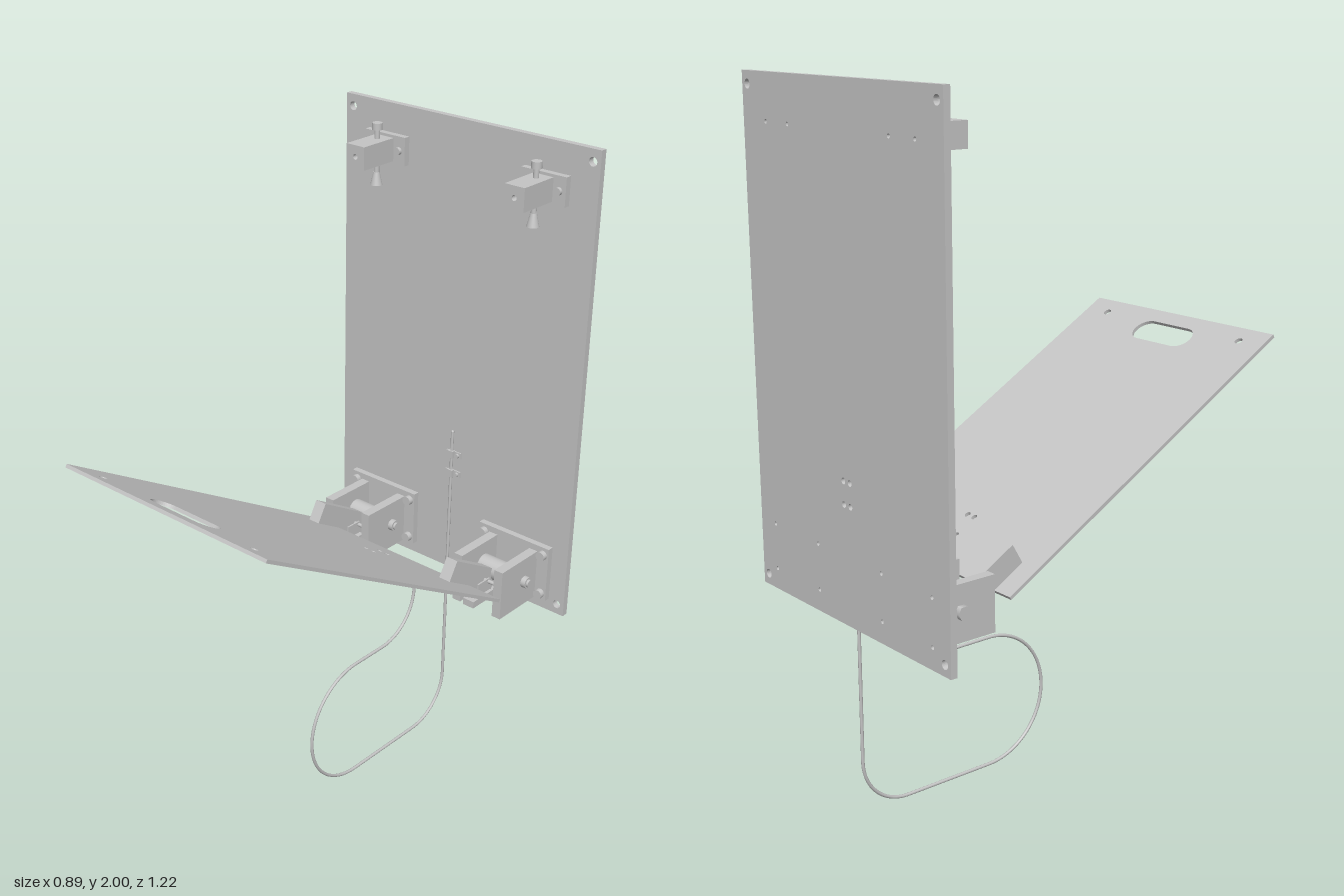
import * as THREE from 'three';

export function createModel() {
  const model = new THREE.Group();
  const grey = new THREE.MeshStandardMaterial({ color: 0xc4c4c4 });
  grey.name = 'light grey metal';

  const add = (parent, name, geo, x = 0, y = 0, z = 0) => {
    const m = new THREE.Mesh(geo, grey);
    m.name = name;
    m.position.set(x, y, z);
    parent.add(m);
    return m;
  };
  // box given by its min and max on each axis
  const box = (parent, name, x0, x1, y0, y1, z0, z1) =>
    add(parent, name, new THREE.BoxGeometry(x1 - x0, y1 - y0, z1 - z0),
      (x0 + x1) / 2, (y0 + y1) / 2, (z0 + z1) / 2);
  // cylinder along a chosen axis
  const rod = (parent, name, axis, r, len, x, y, z, sides = 20, r2 = r) => {
    const geo = new THREE.CylinderGeometry(r, r2, len, sides);
    if (axis === 'x') geo.rotateZ(-Math.PI / 2);
    if (axis === 'z') geo.rotateX(Math.PI / 2);
    return add(parent, name, geo, x, y, z);
  };
  // rectangle with round holes [x, y, r] and optional slot [y, halfWidth, r]
  const sheet = (x0, x1, y0, y1, depth, holes, slot) => {
    const s = new THREE.Shape();
    s.moveTo(x0, y0).lineTo(x1, y0).lineTo(x1, y1).lineTo(x0, y1).closePath();
    for (const [x, y, r] of holes) s.holes.push(new THREE.Path().absarc(x, y, r, 0, Math.PI * 2, true));
    if (slot) {
      const [y, w, r] = slot;
      const p = new THREE.Path();
      p.absarc(w - r, y, r, -Math.PI / 2, Math.PI / 2, false);
      p.absarc(r - w, y, r, Math.PI / 2, Math.PI * 1.5, false);
      p.closePath();
      s.holes.push(p);
    }
    return new THREE.ExtrudeGeometry(s, { depth, bevelEnabled: false, curveSegments: 12 });
  };

  // Wall plate with corner, latch, hinge and clip holes
  const wallHoles = [];
  for (const s of [-1, 1]) {
    for (const y of [0.592, 1.965]) wallHoles.push([s * 0.42, y, 0.013]);
    for (const d of [-0.053, 0.053]) wallHoles.push([s * 0.28 + d, 1.872, 0.006]);
    for (const x of [0.15, 0.37]) for (const y of [0.622, 0.755]) wallHoles.push([s * x, y, 0.006]);
    for (const y of [0.9, 0.965]) wallHoles.push([s * 0.015, y, 0.009]);
  }
  add(model, 'wallPlate', sheet(-0.445, 0.445, 0.56, 2, 0.02, wallHoles), 0, 0, -0.61);

  // Upper latches with spring pins
  for (const s of [-1, 1]) {
    const g = new THREE.Group();
    g.name = 'upperLatch';
    g.position.set(s * 0.28, 1.872, 0);
    model.add(g);
    box(g, 'latchBase', -0.075, 0.075, -0.042, 0.042, -0.59, -0.57);
    add(g, 'latchBlock', sheet(-0.033, 0.033, -0.034, 0.034, 0.13, [[0, 0, 0.008]]), 0, 0, -0.57);
    for (const x of [-0.053, 0.053]) rod(g, 'latchScrew', 'z', 0.011, 0.01, x, 0, -0.565);
    rod(g, 'latchPin', 'y', 0.008, 0.16, 0, -0.012, -0.535);
    rod(g, 'latchCap', 'y', 0.015, 0.02, 0, 0.07, -0.535);
    rod(g, 'latchKnob', 'y', 0.009, 0.038, 0, -0.083, -0.535, 20, 0.018);
  }

  // Flap, tilted up and forward; local y runs up the flap, local -z is its upper side
  const flap = new THREE.Group();
  flap.name = 'flap';
  flap.position.set(0, 0.69, -0.36);
  flap.rotation.x = Math.PI / 3;
  model.add(flap);
  const flapHoles = [[-0.28, 1.066, 0.012], [0.28, 1.066, 0.012]];
  for (const x of [-0.015, 0.015]) for (const y of [0.11, 0.185]) flapHoles.push([x, y, 0.009]);
  add(flap, 'flapPlate', sheet(-0.37, 0.37, 0, 1.12, 0.01, flapHoles, [1.028, 0.115, 0.042]), 0, 0, -0.005);

  // Lower hinges, two identical units
  for (const cx of [-0.26, 0.26]) {
    const g = new THREE.Group();
    g.name = 'hinge';
    g.position.x = cx;
    model.add(g);
    box(g, 'hingeBase', -0.13, 0.13, 0.6, 0.78, -0.59, -0.57);
    for (const x of [-0.11, 0.11]) for (const y of [0.622, 0.755])
      rod(g, 'hingeScrew', 'z', 0.015, 0.016, x, y, -0.562);
    for (const x of [-0.075, 0.075]) box(g, 'hingeCheek', x - 0.015, x + 0.015, 0.6, 0.76, -0.57, -0.395);
    box(g, 'stopBar', -0.045, -0.006, 0.6, 0.622, -0.57, -0.39);
    rod(g, 'hingeBarrel', 'x', 0.034, 0.11, -0.005, 0.685, -0.505, 24);
    rod(g, 'hingeBolt', 'x', 0.012, 0.22, 0.005, 0.685, -0.505);
    rod(g, 'hingeNut', 'x', 0.02, 0.016, -0.098, 0.685, -0.505, 6);
    rod(g, 'hingeBoltHead', 'x', 0.018, 0.016, 0.1, 0.685, -0.505);
    rod(g, 'stopScrew', 'x', 0.006, 0.05, 0.02, 0.68, -0.44, 12);
    rod(g, 'stopScrewHead', 'x', 0.011, 0.008, 0.046, 0.68, -0.44, 12);
    box(g, 'springLeaf', 0.005, 0.01, 0.65, 0.69, -0.445, -0.39);
    // swinging arm fixed on top of the flap
    box(flap, 'hingeArm', cx - 0.045, cx - 0.006, -0.13, 0.11, -0.07, -0.005);
  }

  // Cable clips, on a surface facing local +z
  const clip = (parent, y, z) => {
    const g = new THREE.Group();
    g.name = 'cableClip';
    g.position.set(0, y, z);
    parent.add(g);
    box(g, 'clipSaddle', -0.01, 0.01, -0.012, 0.012, 0, 0.014);
    box(g, 'clipTab', 0.008, 0.034, -0.01, 0.01, 0, 0.005);
    rod(g, 'clipScrew', 'z', 0.007, 0.012, 0.022, 0, 0.006, 12);
    box(g, 'clipFoot', -0.022, -0.008, -0.008, 0.008, 0, 0.005);
  };
  for (const y of [0.11, 0.185]) clip(flap, y, 0.005);
  for (const y of [0.9, 0.965]) clip(model, y, -0.59);

  // Looping cable, drawn in the z-y plane
  const path = new THREE.Path();
  path.moveTo(-0.114, 0.818);
  path.absarc(-0.27, 0.556, 0.15, Math.PI * 2 / 3, Math.PI * 1.5, false);
  path.absarc(-0.145, 0.206, 0.2, Math.PI / 2, -Math.PI / 2, true);
  path.absarc(-0.435, 0.156, 0.15, -Math.PI / 2, -Math.PI, true);
  path.lineTo(-0.585, 1.04);
  const pts = path.getSpacedPoints(160).map(p => new THREE.Vector3(0, p.y, p.x));
  add(model, 'cable', new THREE.TubeGeometry(new THREE.CatmullRomCurve3(pts), 240, 0.005, 8));
  for (const p of [pts[0], pts[160]])
    add(model, 'cableEnd', new THREE.SphereGeometry(0.005, 8, 6), p.x, p.y, p.z);

  return model;
}
